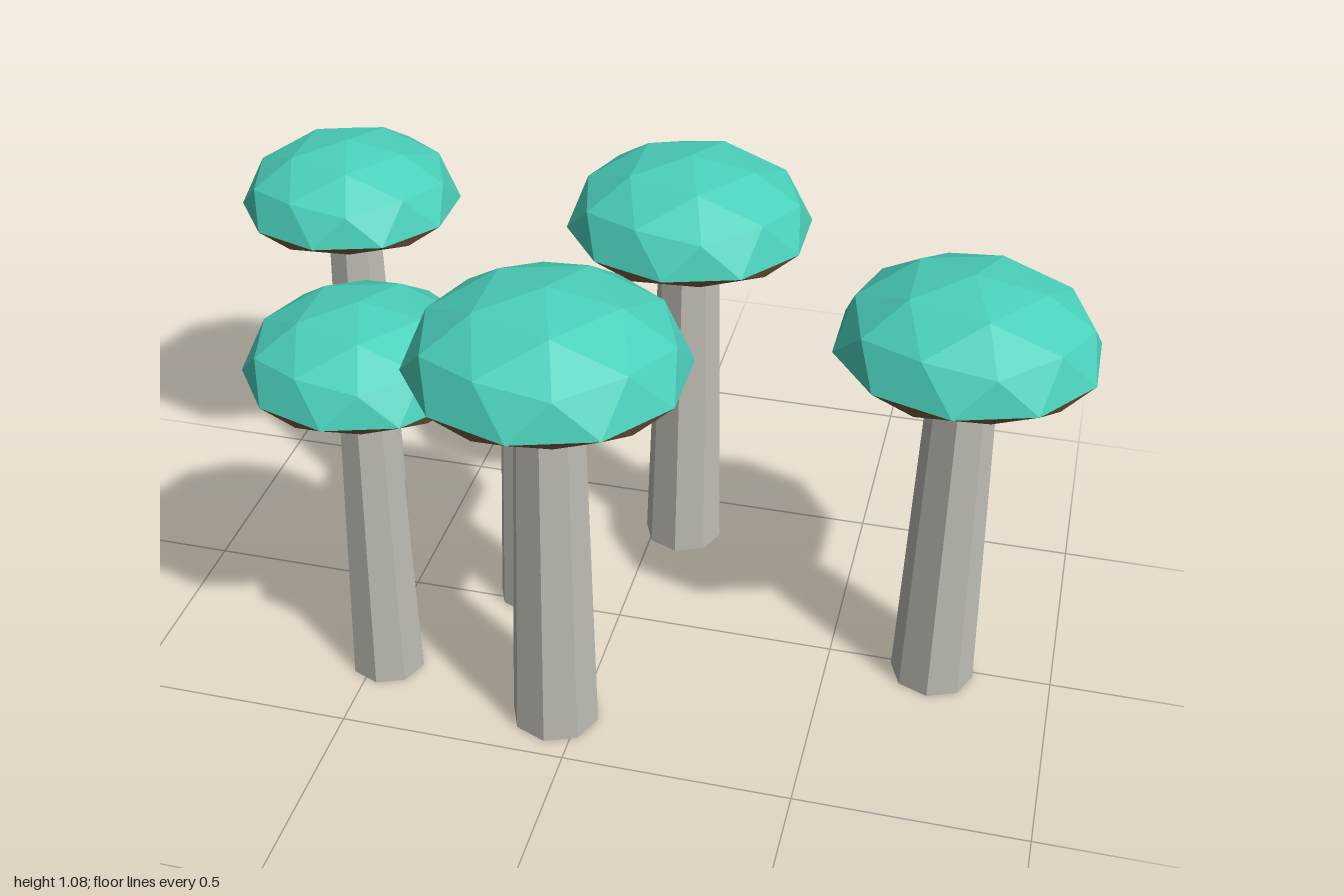
import * as THREE from 'three';

const teal = new THREE.MeshStandardMaterial({ name: 'capTeal', color: 0x4ad0bb, flatShading: true });
const brown = new THREE.MeshStandardMaterial({ name: 'gillBrown', color: 0x7a5e42, flatShading: true });
const grey = new THREE.MeshStandardMaterial({ name: 'stalkGrey', color: 0xbebcb4, flatShading: true });

// Half of a flattened icosphere: the dome (upper) or the flat underside (lower)
function capHalf(upper) {
  const ball = new THREE.IcosahedronGeometry(1, 1);
  ball.rotateX(-Math.atan2(1 + Math.sqrt(5), 2)); // a corner points straight up
  ball.rotateY(Math.PI / 2);
  const p = ball.attributes.position;
  const out = [];
  for (let i = 0; i < p.count; i += 3) {
    const isUpper = p.getY(i) + p.getY(i + 1) + p.getY(i + 2) > 0;
    if (isUpper !== upper) continue;
    for (let j = i; j < i + 3; j++) {
      // clamp the lower half to a flat base and squash; base sits at y = 0
      out.push(p.getX(j), (Math.max(p.getY(j), -0.18) + 0.18) * 0.61, p.getZ(j));
    }
  }
  const geo = new THREE.BufferGeometry();
  geo.setAttribute('position', new THREE.Float32BufferAttribute(out, 3));
  geo.computeVertexNormals();
  return geo;
}

// x, z, cap radius, height of the cap's base
const mushrooms = [
  [-0.757, -0.402, 0.257, 0.767],
  [0.07, -0.367, 0.278, 0.829],
  [0.735, 0.014, 0.278, 0.829],
  [-0.227, -0.028, 0.208, 0.618],
  [-0.472, 0.284, 0.252, 0.765],
  [-0.053, 0.362, 0.291, 0.875],
];

export function createModel() {
  const model = new THREE.Group();
  model.name = 'mushroomCluster';
  const dome = capHalf(true);
  const underside = capHalf(false);

  for (const [x, z, r, h] of mushrooms) {
    const mushroom = new THREE.Group();
    mushroom.name = 'mushroom';
    mushroom.position.set(x, 0, z);

    // tapered eight-sided stalk
    const stalk = new THREE.Mesh(new THREE.CylinderGeometry(r * 0.25, r * 0.333, h, 8), grey);
    stalk.name = 'stalk';
    stalk.position.y = h / 2;
    mushroom.add(stalk);

    // faceted cap
    for (const [name, geo, mat] of [['capDome', dome, teal], ['capUnderside', underside, brown]]) {
      const part = new THREE.Mesh(geo, mat);
      part.name = name;
      part.position.y = h;
      part.scale.setScalar(r);
      mushroom.add(part);
    }
    model.add(mushroom);
  }
  return model;
}
